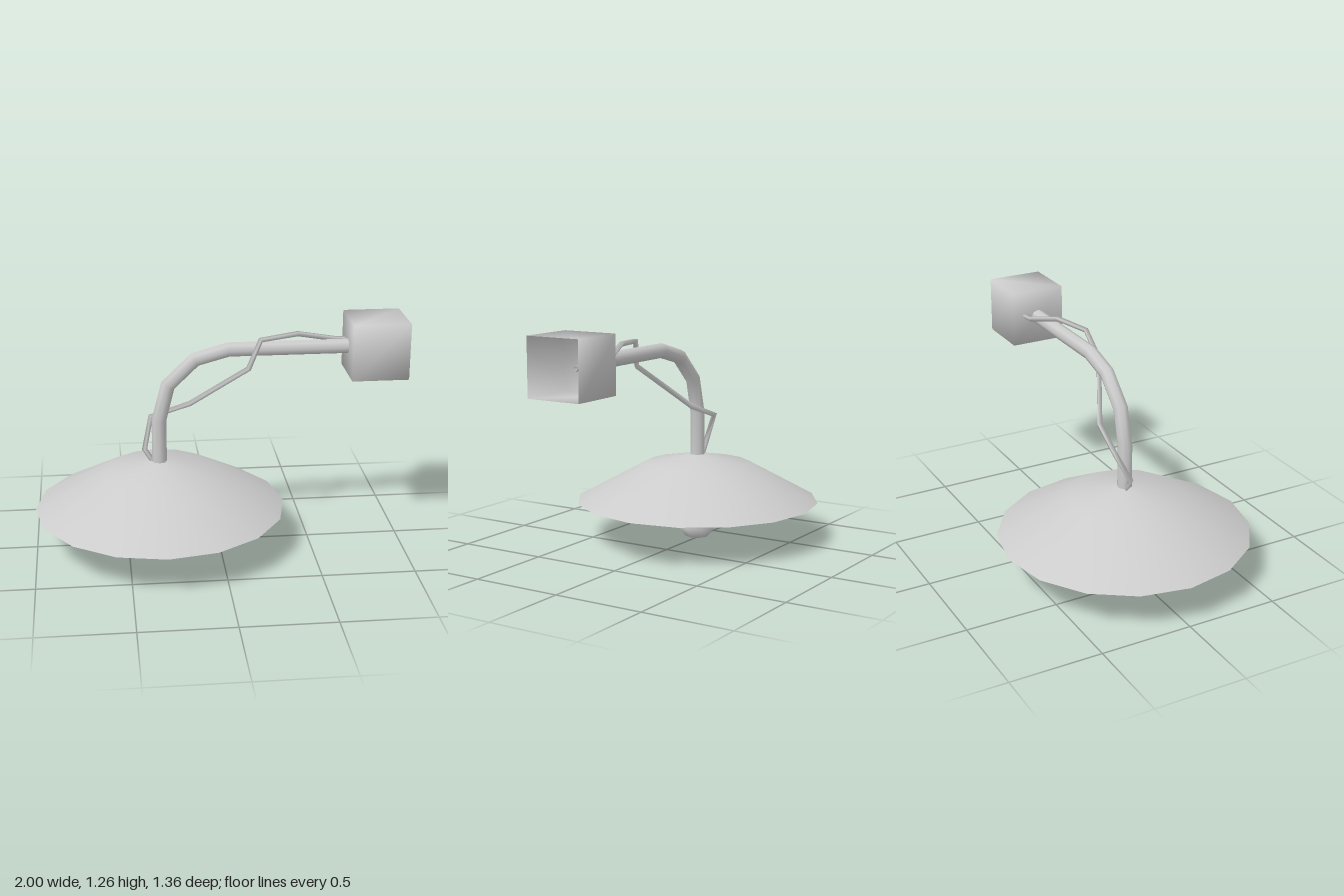
import * as THREE from 'three';
import { mergeVertices } from 'three/addons/utils/BufferGeometryUtils.js';

const AXIS_X = -0.32; // vertical axis of shade and bulb

// Path that keeps its corners, one tube ring per point
class Polyline extends THREE.Curve {
  constructor(points) {
    super();
    this.points = points.map((p) => new THREE.Vector3(...p));
  }
  getPoint(t, target = new THREE.Vector3()) {
    return target.copy(this.points[Math.round(t * (this.points.length - 1))]);
  }
  getPointAt(t, target) {
    return this.getPoint(t, target);
  }
  getTangentAt(t, target = new THREE.Vector3()) {
    const p = this.points, last = p.length - 1, i = Math.round(t * last);
    const before = p[i].clone().sub(p[Math.max(i - 1, 0)]).normalize();
    const after = p[Math.min(i + 1, last)].clone().sub(p[i]).normalize();
    return target.copy(before.add(after)).normalize();
  }
}

export function createModel() {
  const group = new THREE.Group();
  const material = new THREE.MeshStandardMaterial({ color: 0xcccccc, side: THREE.DoubleSide });

  const add = (name, geometry, x = 0, y = 0, z = 0) => {
    const mesh = new THREE.Mesh(geometry, material);
    mesh.name = name;
    mesh.position.set(x, y, z);
    group.add(mesh);
    return mesh;
  };
  const lathe = (profile, sides) =>
    new THREE.LatheGeometry(profile.map(([r, y]) => new THREE.Vector2(r, y)), sides);
  const tube = (points, radius, sides) =>
    new THREE.TubeGeometry(new Polyline(points), points.length - 1, radius, sides);

  // Shade: inner skin down to the rim, outer skin back up
  add('shade', lathe([
    [0, 0.465], [0.29, 0.41], [0.645, 0.225], [0.68, 0.225], [0.3, 0.433], [0.04, 0.485], [0, 0.487],
  ], 16), AXIS_X);

  // Bulb hanging under the shade
  add('bulb', lathe([
    [0, 0], [0.065, 0.012], [0.115, 0.07], [0.115, 0.42], [0.065, 0.455], [0, 0.46],
  ], 8), AXIS_X);

  // Bent pipe arm
  add('arm', tube([
    [AXIS_X, 0.46, 0], [AXIS_X, 0.72, 0], [-0.27, 0.915, 0],
    [-0.125, 1.055, 0], [0.055, 1.105, 0], [0.71, 1.105, 0],
  ], 0.04, 8));

  // Loose three-sided cable winding around the arm
  add('cable', tube([
    [-0.35, 0.47, -0.01], [-0.4, 0.55, -0.01], [-0.36, 0.71, -0.085], [-0.15, 0.785, -0.06],
    [0.15, 1.025, 0.095], [0.22, 1.17, 0.055], [0.43, 1.18, -0.01], [0.64, 1.125, -0.08],
    [0.92, 1.11, -0.08],
  ], 0.017, 3));

  // Wall box, open on its outer (+x) side, with softly shaded shared corners
  let box = new THREE.BoxGeometry(0.305, 0.305, 0.305);
  box.setIndex([...box.index.array].slice(6));
  box.deleteAttribute('normal');
  box.deleteAttribute('uv');
  box = mergeVertices(box);
  box.computeVertexNormals();
  add('wallBox', box, 0.8475, 1.1075, 0);

  return group;
}
